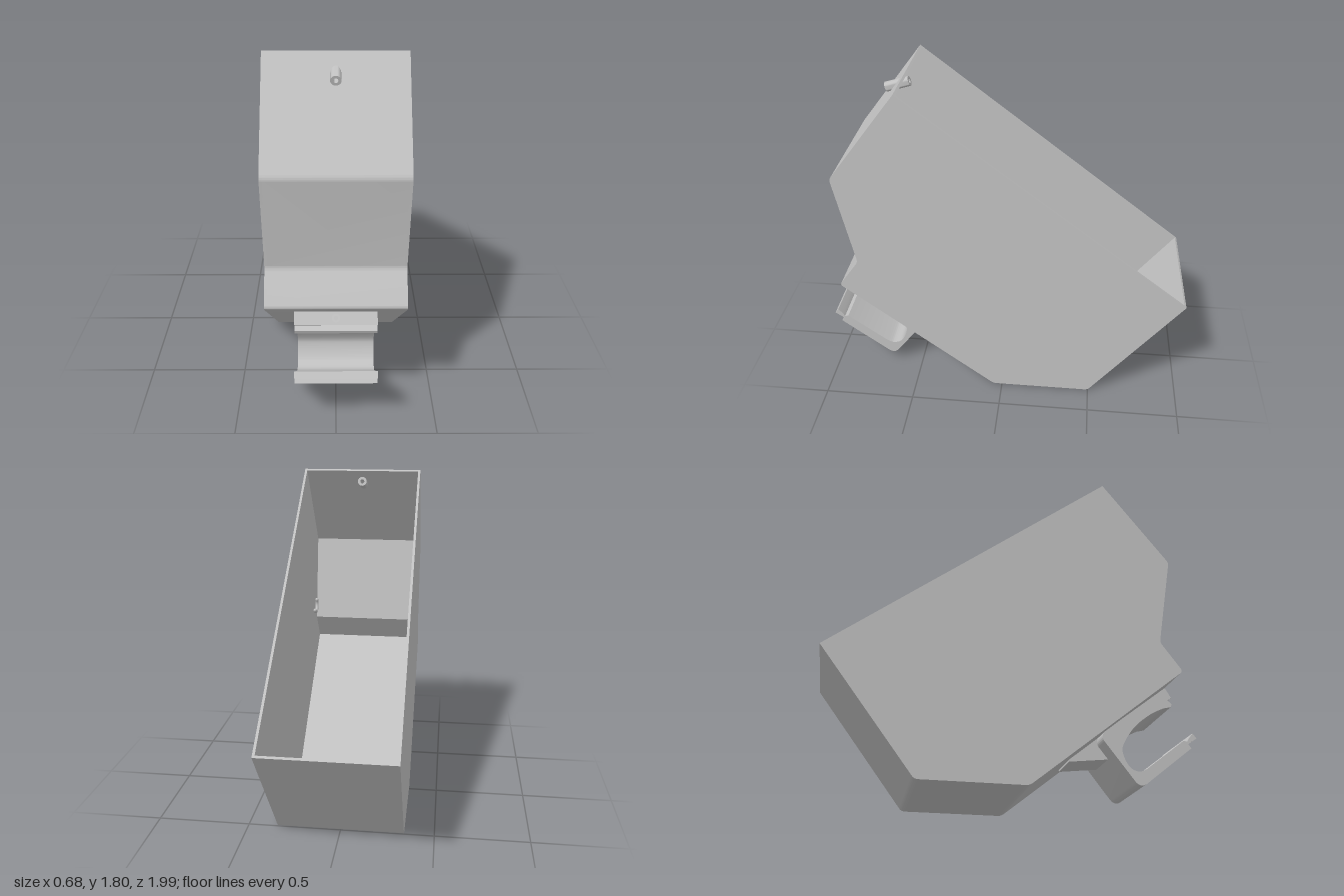
import * as THREE from 'three';
import { toCreasedNormals } from 'three/addons/utils/BufferGeometryUtils.js';

const HALF = 0.34, WALL = 0.013;
const V = (z, y) => new THREE.Vector2(z, y);

// Side outline as (z, y), from the top of the open rim, down the front, to the back of the rim
const outline = [
  V(0.51, 1.8), V(0.875, 1.325), V(0.78, 0.82), V(0.895, 0.66),
  V(0.05, 0), V(-0.5, 0), V(-0.99, 0.645),
];

// Moves every edge inwards by the wall thickness, except the open rim edge
function inset(pts, d) {
  const n = pts.length;
  const edge = (i) => {
    const dir = pts[(i + 1) % n].clone().sub(pts[i]).normalize();
    return { normal: V(dir.y, -dir.x), dist: i === n - 1 ? 0 : d };
  };
  return pts.map((p, i) => {
    const a = edge((i + n - 1) % n), b = edge(i);
    const det = a.normal.x * b.normal.y - a.normal.y * b.normal.x;
    return V(
      p.x + (a.dist * b.normal.y - b.dist * a.normal.y) / det,
      p.y + (a.normal.x * b.dist - b.normal.x * a.dist) / det,
    );
  });
}

// Path through the points with softened inner corners
function roundedPath(pts, r) {
  const s = new THREE.Shape();
  s.moveTo(pts[0].x, pts[0].y);
  for (let i = 1; i < pts.length - 1; i++) {
    const p = pts[i];
    const a = p.clone().add(pts[i - 1].clone().sub(p).setLength(r));
    const b = p.clone().add(pts[i + 1].clone().sub(p).setLength(r));
    s.lineTo(a.x, a.y);
    s.quadraticCurveTo(p.x, p.y, b.x, b.y);
  }
  const last = pts[pts.length - 1];
  s.lineTo(last.x, last.y);
  return s;
}

// Extrudes a (z, y) profile across x, centred
function across(shape, width) {
  const g = new THREE.ExtrudeGeometry(shape, { depth: width, bevelEnabled: false, curveSegments: 10 });
  g.translate(0, 0, -width / 2);
  g.rotateY(-Math.PI / 2);
  return toCreasedNormals(g, 0.5);
}

// Hollow pipe centred on its length, along +z
function pipe(outer, inner, length) {
  const s = new THREE.Shape().absarc(0, 0, outer, 0, Math.PI * 2);
  s.holes.push(new THREE.Path().absarc(0, 0, inner, 0, Math.PI * 2, true));
  const g = new THREE.ExtrudeGeometry(s, { depth: length, bevelEnabled: false, curveSegments: 16 });
  g.translate(0, 0, -length / 2);
  return toCreasedNormals(g, 0.6);
}

export function createModel() {
  const model = new THREE.Group();
  const grey = new THREE.MeshStandardMaterial({ color: 0xc0c0c0 });
  grey.name = 'light grey';
  const add = (name, geometry, x = 0, y = 0, z = 0) => {
    const mesh = new THREE.Mesh(geometry, grey);
    mesh.name = name;
    mesh.position.set(x, y, z);
    model.add(mesh);
    return mesh;
  };

  // Open container: folded wall band between two side plates
  const band = roundedPath(outline, 0.02);
  inset(outline, WALL).reverse().forEach((p) => band.lineTo(p.x, p.y));
  add('containerWalls', across(band, 2 * (HALF - WALL)));
  for (const side of [-1, 1]) {
    add('sidePlate', across(roundedPath(outline, 0.02), WALL), side * (HALF - WALL / 2));
    // Cradle hooks on the inner faces, open towards the rim
    for (const [z, y] of [[0.68, 0.92], [-0.34, 0.13]]) {
      const hook = new THREE.TorusGeometry(0.043, 0.011, 8, 20, Math.PI);
      hook.rotateZ(-2.48);
      hook.rotateY(-Math.PI / 2);
      add('innerHook', hook, side * 0.318, y, z);
      for (const end of [-2.48, -2.48 + Math.PI]) {
        add('hookEnd', new THREE.SphereGeometry(0.011, 8, 6), side * 0.318,
          y + 0.043 * Math.sin(end), z + 0.043 * Math.cos(end));
      }
    }
  }

  // Clip under the sloping front wall, with a round throat and notched jaws
  const clip = new THREE.Shape();
  clip.moveTo(0.845, 0.615);
  [[0.877, 0.56], [0.855, 0.543], [0.877, 0.525], [0.87, 0.507], [0.823, 0.495]]
    .forEach(([z, y]) => clip.lineTo(z, y));
  clip.splineThru([
    V(0.743, 0.452), V(0.652, 0.376), V(0.588, 0.28), V(0.583, 0.226),
    V(0.615, 0.161), V(0.663, 0.14), V(0.705, 0.155),
  ]);
  [[0.925, 0.322], [0.945, 0.318], [0.955, 0.335], [0.98, 0.367], [1.0, 0.34],
    [0.95, 0.305], [0.965, 0.283], [0.71, 0.085]].forEach(([z, y]) => clip.lineTo(z, y));
  clip.quadraticCurveTo(0.67, 0.05, 0.64, 0.085);
  clip.lineTo(0.485, 0.29);
  clip.quadraticCurveTo(0.47, 0.31, 0.485, 0.342);
  add('mountingClip', across(clip, 0.4));

  // Gusset behind the clip
  const gusset = new THREE.Shape([V(0.545, 0.226), V(0.32, 0.2), V(0.32, 0.214), V(0.49, 0.345)]);
  add('clipGusset', across(gusset, 0.2));

  // Spout near the top of the front and the port on the upper jaw
  const spout = add('spout', pipe(0.026, 0.012, 0.13), 0, 1.713, 0.565);
  spout.rotation.x = 0.29;
  const port = add('clipPort', pipe(0.02, 0.011, 0.014), 0, 0.588, 0.861);
  port.rotation.x = -0.6;

  return model;
}
